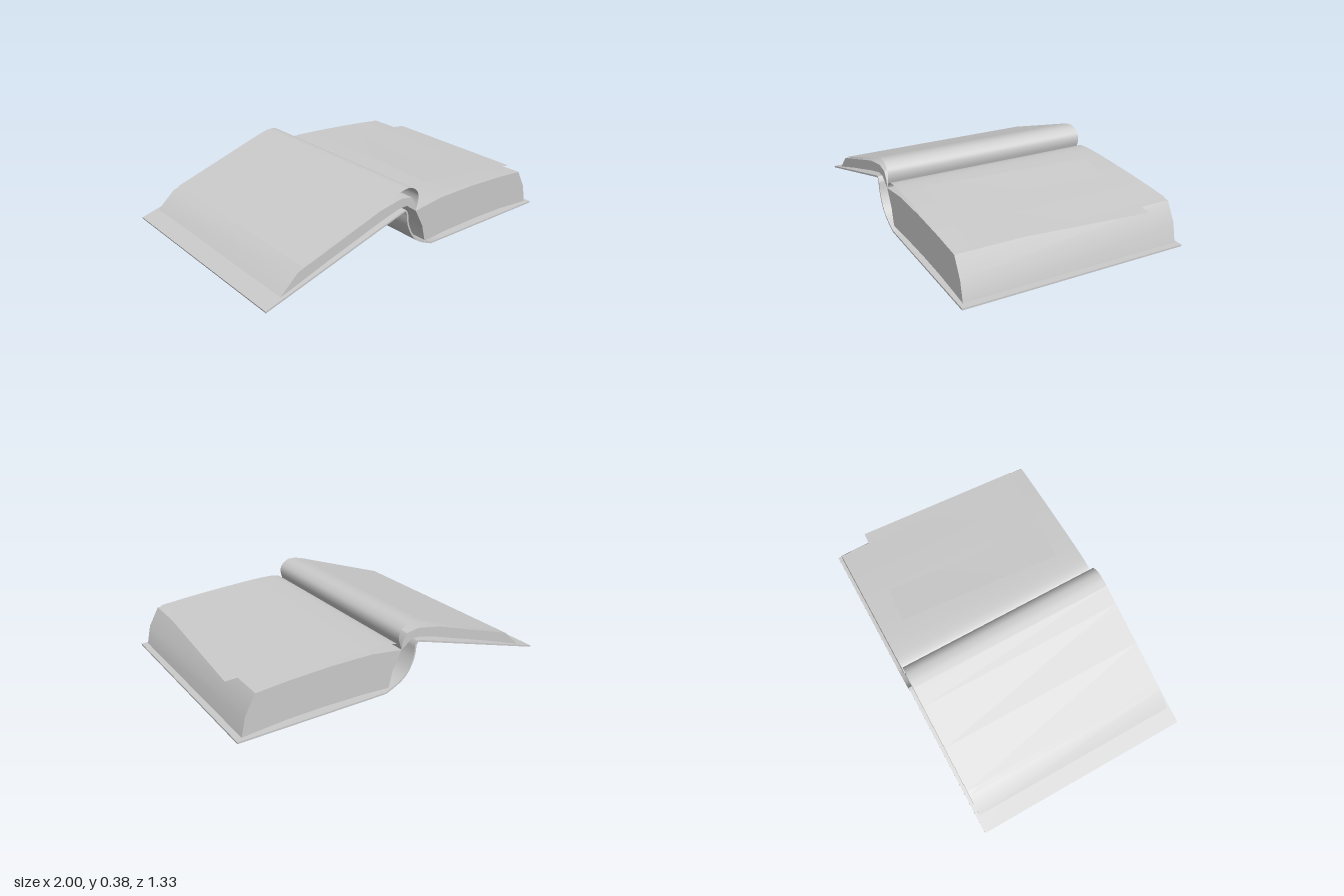
import * as THREE from 'three';
import { toCreasedNormals } from 'three/addons/utils/BufferGeometryUtils.js';

const grey = new THREE.MeshStandardMaterial({ color: 0xcccccc });
const greyThin = new THREE.MeshStandardMaterial({ color: 0xcccccc, side: THREE.DoubleSide });
const vecs = (pts) => pts.map(([x, y]) => new THREE.Vector2(x, y));

// Solid with a front-view outline, running the given depth along z
function slab(name, outline, depth) {
  const geo = new THREE.ExtrudeGeometry(new THREE.Shape(outline), { depth, bevelEnabled: false });
  geo.translate(0, 0, -depth / 2);
  const mesh = new THREE.Mesh(toCreasedNormals(geo, 0.5), grey);
  mesh.name = name;
  return mesh;
}

// Paper-thin surface: a front-view path swept along z
function leaf(name, path, depth) {
  const n = path.length - 1;
  const geo = new THREE.PlaneGeometry(1, depth, n, 1);
  geo.rotateX(-Math.PI / 2);
  const pos = geo.attributes.position;
  for (let i = 0; i < pos.count; i++) {
    const p = path[i % (n + 1)];
    pos.setXY(i, p.x, p.y);
  }
  geo.computeVertexNormals();
  const mesh = new THREE.Mesh(geo, greyThin);
  mesh.name = name;
  return mesh;
}

// Outline of constant thickness around an open path
function thicken(path, t) {
  const side = (s) => path.map((p, i) => {
    const d = path[Math.min(i + 1, path.length - 1)].clone().sub(path[Math.max(i - 1, 0)]).normalize();
    return new THREE.Vector2(p.x - d.y * s, p.y + d.x * s);
  });
  return [...side(-t / 2), ...side(t / 2).reverse()];
}

export function createModel() {
  const book = new THREE.Group();
  book.name = 'openBook';

  // Cover: sloping left board, curved spine, flat right board
  const spine = new THREE.SplineCurve(vecs([
    [-0.082, 0.25], [-0.072, 0.18], [-0.035, 0.105], [0.02, 0.055], [0.11, 0.014],
  ])).getPoints(16);
  const coverPath = [...vecs([[-0.998, 0.007], [-0.115, 0.267], [-0.095, 0.27]]), ...spine, ...vecs([[0.2, 0.013], [0.998, 0.011]])];
  book.add(slab('cover', thicken(coverPath, 0.01), 1.33));

  // Thin stack of turned pages on the left board
  book.add(slab('leftPages', vecs([
    [-0.9, 0.04], [-0.6, 0.14], [-0.25, 0.25], [-0.13, 0.283], [-0.07, 0.285], [0, 0.235],
    [-0.005, 0.28], [-0.035, 0.325], [-0.11, 0.338], [-0.26, 0.31], [-0.79, 0.14],
  ]), 1.29));

  // Thick stack of pages on the right board
  book.add(slab('rightPages', vecs([
    [0.08, 0.028], [0.25, 0.038], [0.5, 0.042], [0.72, 0.038], [0.965, 0.02],
    [0.94, 0.13], [0.88, 0.238], [0.7, 0.252], [0.45, 0.262], [0.2, 0.26], [0, 0.235], [0.055, 0.13],
  ]), 1.29));

  // Top page on the left, curling up out of the gutter
  const curl = new THREE.SplineCurve(vecs([
    [0, 0.24], [0.018, 0.3], [0.01, 0.345], [-0.03, 0.378], [-0.08, 0.383], [-0.14, 0.371],
  ])).getPoints(24);
  book.add(leaf('leftTopPage', [...curl, ...vecs([[-0.25, 0.333], [-0.5, 0.247], [-0.76, 0.158]])], 1.285));

  // Top page on the right, lifting slightly over the stack
  const lift = new THREE.SplineCurve(vecs([
    [0, 0.238], [0.015, 0.265], [0.05, 0.283], [0.13, 0.291], [0.3, 0.287], [0.6, 0.27], [0.86, 0.248],
  ])).getPoints(30);
  book.add(leaf('rightTopPage', lift, 1.285));

  // Loose sheet lying askew on the right page
  const corners = [[0.29, 0.296, -0.51], [0.95, 0.236, -0.455], [0.21, 0.3, 0.5], [0.88, 0.256, 0.56]];
  const sheetGeo = new THREE.PlaneGeometry(1, 1);
  sheetGeo.rotateX(-Math.PI / 2);
  corners.forEach((c, i) => sheetGeo.attributes.position.setXYZ(i, ...c));
  sheetGeo.computeVertexNormals();
  const sheet = new THREE.Mesh(sheetGeo, greyThin);
  sheet.name = 'looseSheet';
  book.add(sheet);

  return book;
}
